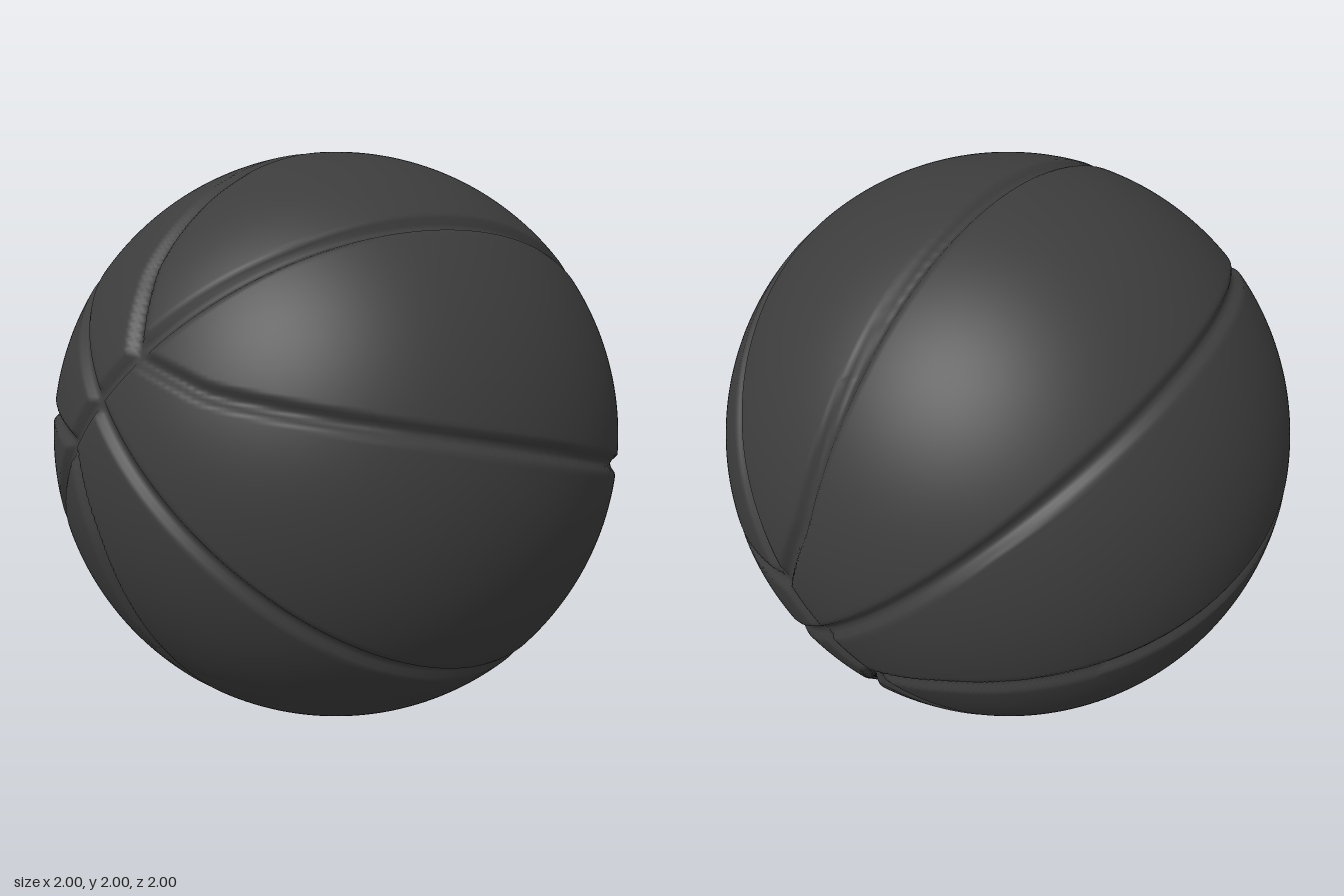
import * as THREE from 'three';
import { mergeVertices } from 'three/addons/utils/BufferGeometryUtils.js';

const GROOVE_WIDTH = 0.036; // half width
const GROOVE_DEPTH = 0.023;
const DIVISIONS = 108;

// Ball axes: pole = where the seams meet, side = normal of the main seam
const pole = new THREE.Vector3(-0.294, 0.262, 0.919).normalize();
const along = new THREE.Vector3(0.67, 0.742, 0).cross(pole).normalize();
const side = pole.clone().cross(along).normalize();
const basis = new THREE.Matrix4().makeBasis(along, side, pole);

// One eighth of the curved seams, in ball axes (along, side, pole)
function curvedSeam() {
  const plan = [[0, 0.205], [0.085, 0.25], [0.18, 0.3], [0.253, 0.338], [0.38, 0.438],
    [0.546, 0.585], [0.688, 0.725]];
  const points = plan.map(([t, n]) =>
    new THREE.Vector3(t, n, Math.sqrt(Math.max(0, 1 - t * t - n * n))));
  points.push(new THREE.Vector3(0.546, 0.585, -0.6));
  return new THREE.CatmullRomCurve3(points).getPoints(300).map((p) => p.normalize());
}

// Depth of a rounded channel at distance d from its centre line
function channel(d, width, depth) {
  return depth * (1 - THREE.MathUtils.smoothstep(d, width * 0.12, width));
}

export function createModel() {
  const group = new THREE.Group();
  group.name = 'ball';
  const rubber = new THREE.MeshStandardMaterial({ color: 0x3c3c3c });
  rubber.name = 'dark rubber';

  // Evenly divided cube, blown up into a sphere
  let geometry = new THREE.BoxGeometry(2, 2, 2, DIVISIONS, DIVISIONS, DIVISIONS);
  geometry.deleteAttribute('normal');
  geometry.deleteAttribute('uv');
  geometry.clearGroups();
  geometry = mergeVertices(geometry, 1e-4);

  const seam = curvedSeam();
  const valve = new THREE.Vector3(0.64, -0.76, 0.1).normalize()
    .applyMatrix4(basis.clone().transpose());
  const position = geometry.attributes.position;
  const v = new THREE.Vector3();
  const folded = new THREE.Vector3();
  const even = (a) => Math.tan(a * Math.PI / 4);

  for (let i = 0; i < position.count; i++) {
    v.fromBufferAttribute(position, i);
    v.set(even(v.x), even(v.y), even(v.z)).normalize();
    folded.set(Math.abs(v.x), Math.abs(v.y), Math.abs(v.z));

    // Two great-circle seams and the curved seams, mirrored in every octant
    let distance = Math.min(folded.x, folded.y);
    let curved = Infinity;
    for (const p of seam) curved = Math.min(curved, folded.distanceToSquared(p));
    distance = Math.min(distance, Math.sqrt(curved));

    // Small valve dimple on the lower side
    const dent = Math.max(channel(distance, GROOVE_WIDTH, GROOVE_DEPTH),
      channel(v.distanceTo(valve), 0.026, 0.01));
    v.multiplyScalar(1 - dent);
    position.setXYZ(i, v.x, v.y, v.z);
  }
  geometry.applyMatrix4(basis);
  geometry.computeVertexNormals();

  const skin = new THREE.Mesh(geometry, rubber);
  skin.name = 'groovedSkin';
  skin.position.y = 1;
  group.add(skin);
  return group;
}
